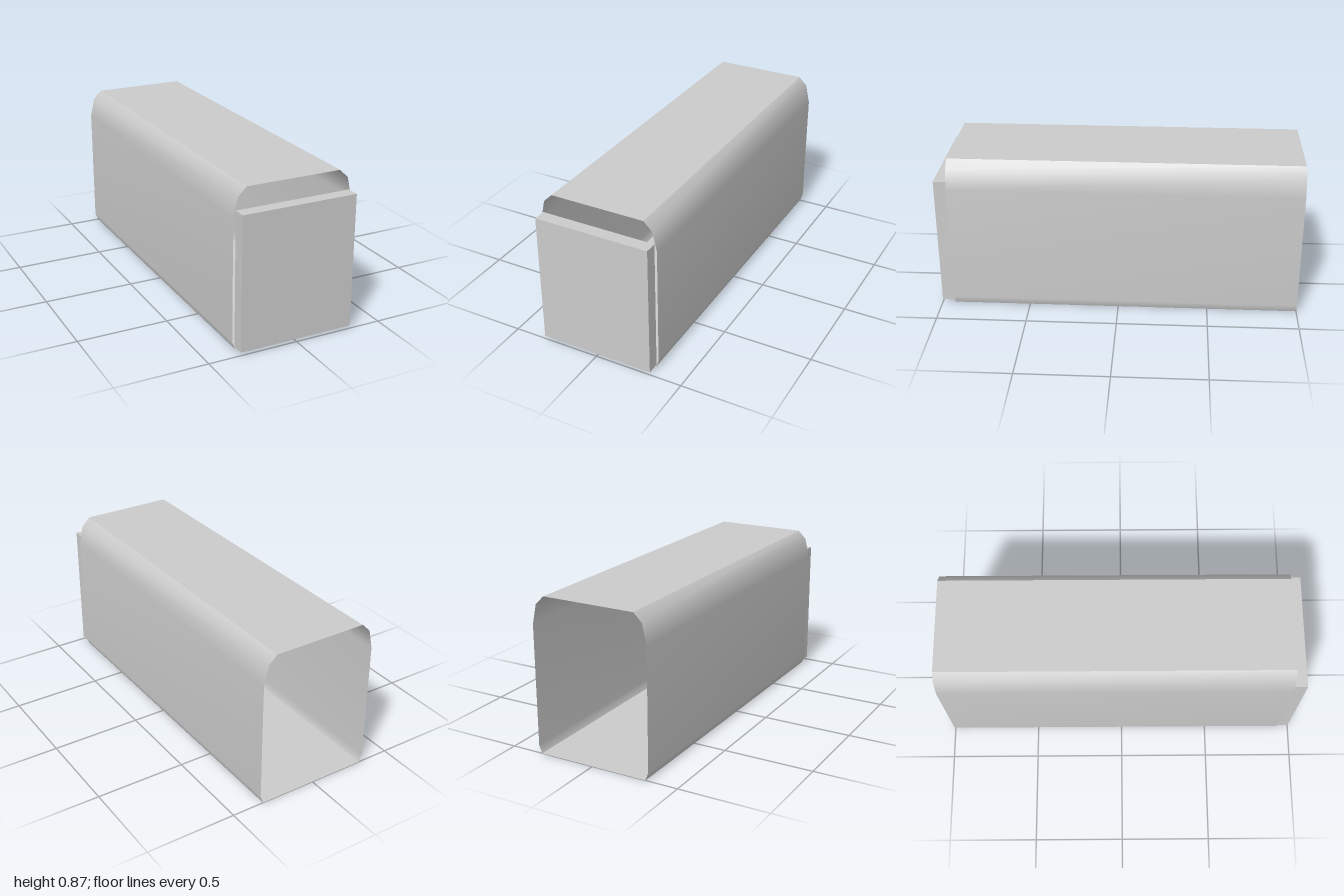
import * as THREE from 'three';

// Strip of surface swept along z from an open profile; smooth along the profile.
function sweepStrip(points, zBack, zFront) {
  const positions = [], index = [];
  points.forEach(([x, y], i) => {
    positions.push(x, y, zBack, x, y, zFront);
    if (i > 0) {
      const a = 2 * (i - 1);
      index.push(a, a + 2, a + 1, a + 1, a + 2, a + 3);
    }
  });
  const geometry = new THREE.BufferGeometry();
  geometry.setAttribute('position', new THREE.Float32BufferAttribute(positions, 3));
  geometry.setIndex(index);
  geometry.computeVertexNormals();
  return geometry;
}

export function createModel() {
  const model = new THREE.Group();
  model.name = 'openSleeve';
  const grey = new THREE.MeshStandardMaterial({ color: 0xcccccc, side: THREE.DoubleSide });
  grey.name = 'lightGrey';

  const add = (name, geometry, parent) => {
    const mesh = new THREE.Mesh(geometry, grey);
    mesh.name = name;
    parent.add(mesh);
    return mesh;
  };

  // Thin sleeve, open at both ends, with rounded side walls
  const sleeve = new THREE.Group();
  sleeve.name = 'sleeve';
  model.add(sleeve);
  const zBack = -1, zFront = 0.93;
  const wall = [[0.317, 0], [0.334, 0.045], [0.335, 0.71], [0.311, 0.818], [0.263, 0.865]];
  const mirrored = wall.map(([x, y]) => [-x, y]).reverse();
  const top = wall[wall.length - 1], bottom = wall[0];
  add('leftWall', sweepStrip(wall, zBack, zFront), sleeve);
  add('rightWall', sweepStrip(mirrored, zBack, zFront), sleeve);
  add('roof', sweepStrip([top, mirrored[0]], zBack, zFront), sleeve);
  add('floor', sweepStrip([mirrored[mirrored.length - 1], bottom], zBack, zFront), sleeve);

  // Flat block in front of the opening
  const block = add('frontBlock', new THREE.BoxGeometry(0.643, 0.735, 0.07), model);
  block.position.set(0, 0.384, 0.965);

  return model;
}
